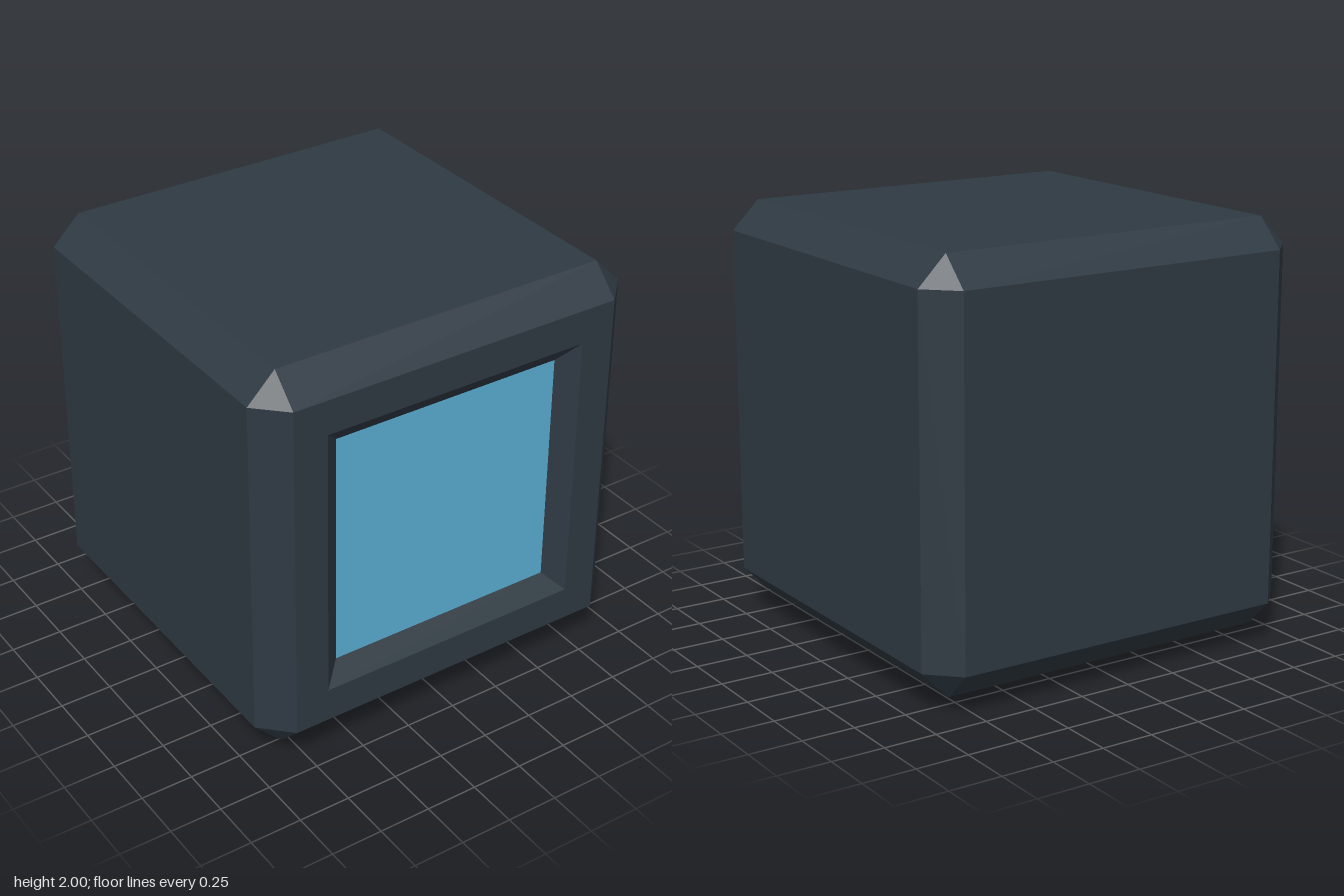
import * as THREE from 'three';

const HALF = 0.965;      // half size of the casing
const FLAT = 0.83;       // half size of each flat side, inside the chamfers
const CENTRE_Y = 1.035;
const RECESS = 0.075;    // depth of the screen below the front
const SCREEN = 0.575;    // half size of the screen

const bodyMaterial = new THREE.MeshStandardMaterial({ color: 0x2f3a43, flatShading: true });
const screenMaterial = new THREE.MeshStandardMaterial({ color: 0x5ab0d6, flatShading: true });
const footMaterial = new THREE.MeshStandardMaterial({ color: 0x6fa8a3, flatShading: true });

// Square with cut corners; equal a and b give a plain square
function section(a, b, z) {
  return [[a, -b], [a, b], [b, a], [-b, a], [-a, b], [-a, -b], [-b, -a], [b, -a]]
    .map(([x, y]) => new THREE.Vector3(x, y, z));
}

// Skin the sections in order, leaving out collapsed triangles
function loft(sections) {
  const points = [];
  const triangle = (a, b, c) => {
    if (a.distanceTo(b) * b.distanceTo(c) * c.distanceTo(a) > 0) points.push(a, b, c);
  };
  for (let s = 0; s < sections.length - 1; s++) {
    const low = sections[s], high = sections[s + 1];
    for (let i = 0; i < low.length; i++) {
      const j = (i + 1) % low.length;
      triangle(low[i], low[j], high[j]);
      triangle(low[i], high[j], high[i]);
    }
  }
  const geometry = new THREE.BufferGeometry().setFromPoints(points);
  geometry.computeVertexNormals();
  return geometry;
}

export function createModel() {
  const model = new THREE.Group();
  model.name = 'cubeMonitor';

  const add = (name, geometry, material, x, y, z) => {
    const mesh = new THREE.Mesh(geometry, material);
    mesh.name = name;
    mesh.position.set(x, y, z);
    model.add(mesh);
  };

  // Chamfered casing, from the middle of the back to the sloped screen recess
  add('casing', loft([
    section(0, 0, -HALF),
    section(FLAT, FLAT, -HALF),
    section(HALF, FLAT, -FLAT),
    section(HALF, FLAT, FLAT),
    section(FLAT, FLAT, HALF),
    section(0.665, 0.665, HALF),
    section(SCREEN, SCREEN, HALF - RECESS),
  ]), bodyMaterial, 0, CENTRE_Y, 0);

  // Screen at the bottom of the recess
  add('screen', new THREE.PlaneGeometry(2 * SCREEN, 2 * SCREEN), screenMaterial,
    0, CENTRE_Y, HALF - RECESS);

  // Four tapered five-sided feet, each with a flat side to the front
  const foot = new THREE.CylinderGeometry(0.114, 0.086, 0.07, 5, 1, false, Math.PI);
  for (const [end, z] of [['front', 0.595], ['back', -0.57]]) {
    for (const [side, x] of [['Left', 0.622], ['Right', -0.622]]) {
      add(`${end}${side}Foot`, foot, footMaterial, x, 0.035, z);
    }
  }

  return model;
}
